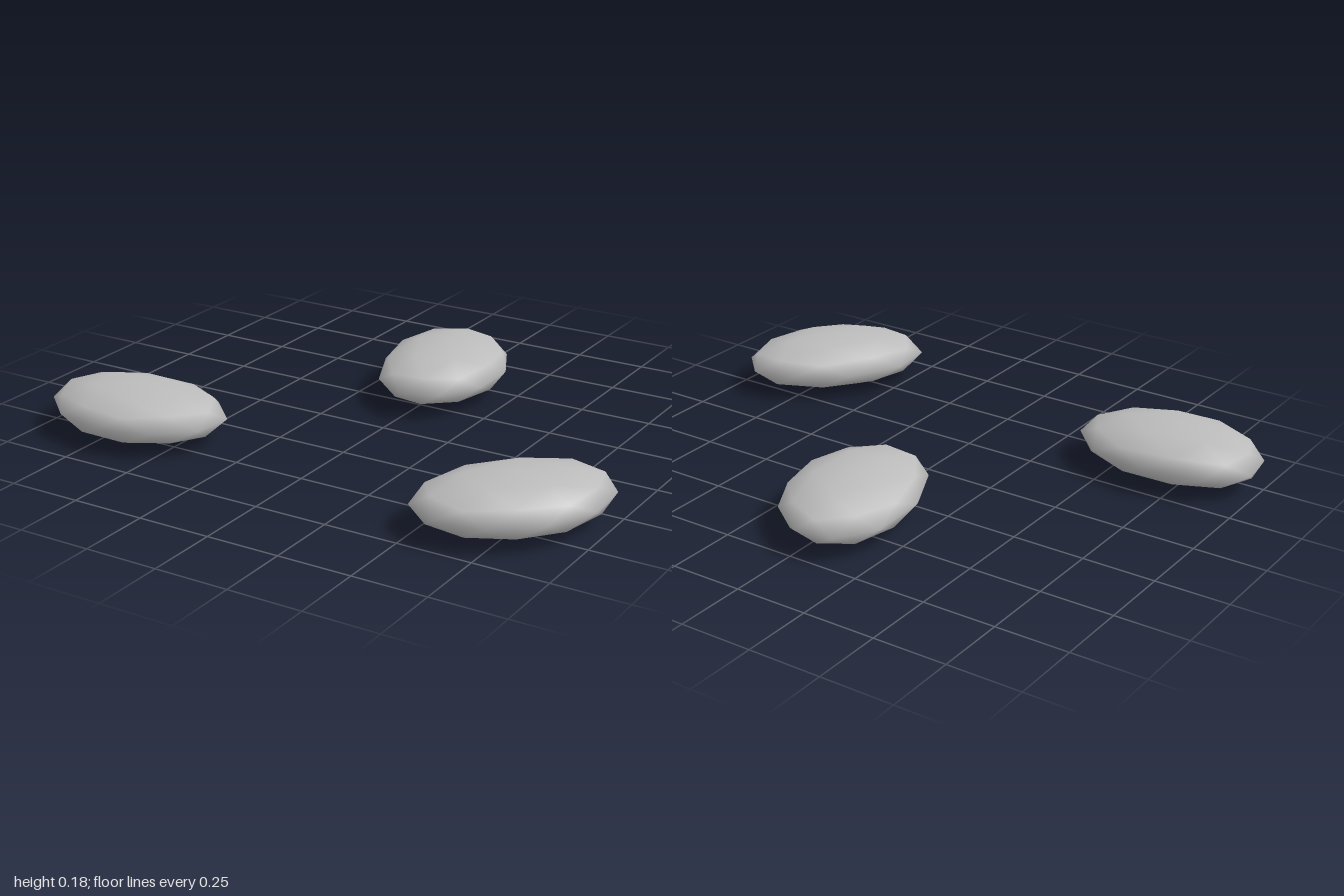
import * as THREE from 'three';
import { mergeVertices } from 'three/addons/utils/BufferGeometryUtils.js';

// Flat pebble: a faceted sphere with one vertex at the pole, slightly narrower toward +z
function pebbleGeometry() {
  let geo = new THREE.IcosahedronGeometry(1, 1);
  geo.deleteAttribute('uv');
  geo.deleteAttribute('normal');
  geo = mergeVertices(geo, 1e-4);
  geo.rotateZ(-Math.atan(2 / (1 + Math.sqrt(5))));
  const pos = geo.attributes.position;
  for (let i = 0; i < pos.count; i++) {
    pos.setX(i, pos.getX(i) * (1 - 0.088 * pos.getZ(i)));
  }
  geo.scale(0.327, 0.09, 0.221);
  geo.computeVertexNormals();
  return geo;
}

export function createModel() {
  const model = new THREE.Group();
  model.name = 'steppingStones';
  const stoneGrey = new THREE.MeshStandardMaterial({ color: 0xbbbbbb });
  stoneGrey.name = 'stoneGrey';
  const geo = pebbleGeometry();

  // Three equal stones, each turned a little further than the last
  const stones = [
    ['rightStone', -0.68, 0.46],
    ['leftStone', 0.74, 0.457],
    ['backStone', -0.005, -0.43],
  ];
  stones.forEach(([name, x, z], i) => {
    const stone = new THREE.Mesh(geo, stoneGrey);
    stone.name = name;
    stone.position.set(x, 0.09, z);
    stone.rotation.y = i * 0.9;
    model.add(stone);
  });
  return model;
}
